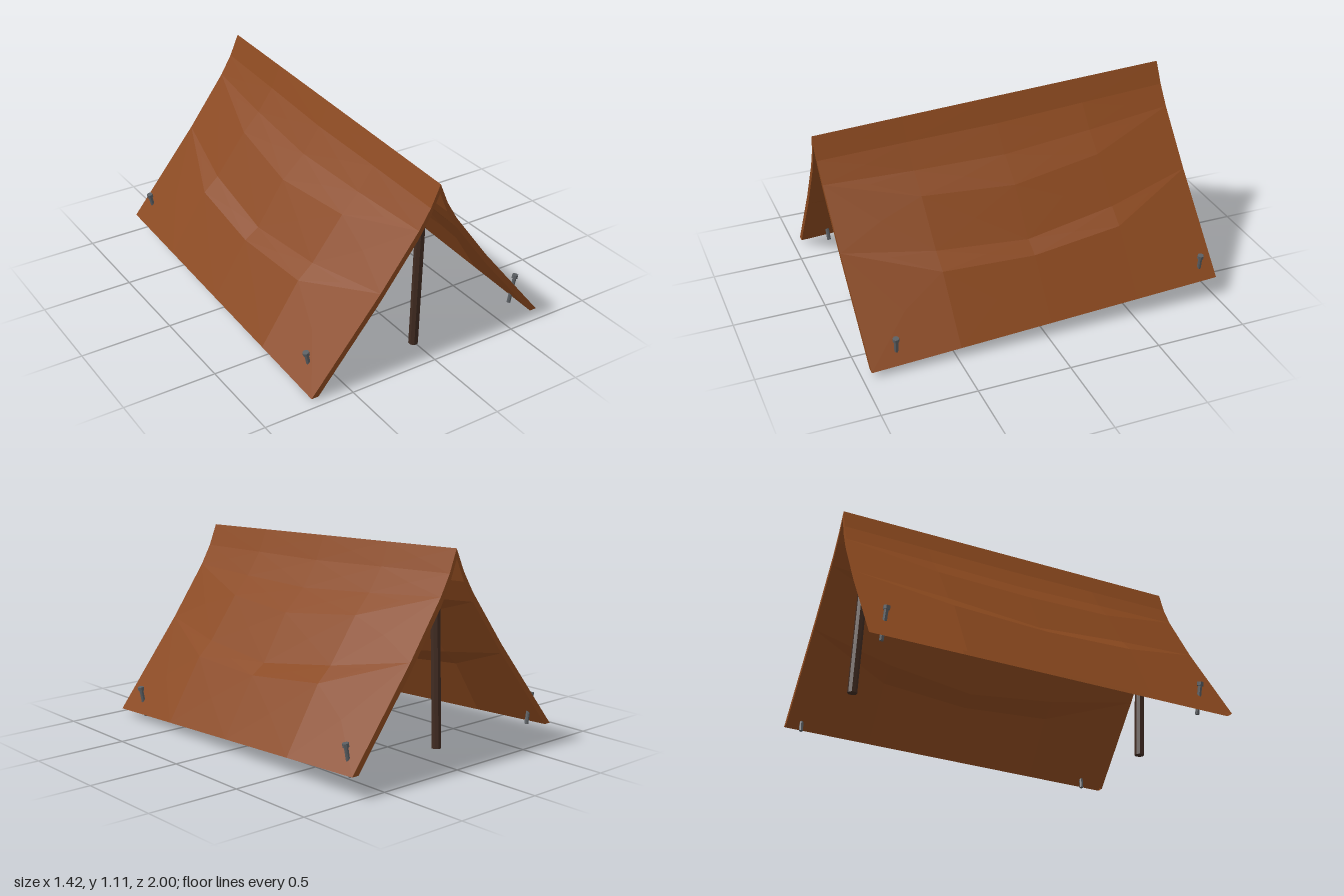
import * as THREE from 'three';

const canvas = new THREE.MeshStandardMaterial({ color: 0x8a481e, side: THREE.DoubleSide });
canvas.name = 'brown canvas';
const wood = new THREE.MeshStandardMaterial({ color: 0x402b21 });
wood.name = 'dark wood';
const iron = new THREE.MeshStandardMaterial({ color: 0x5a5e62 });
iron.name = 'grey iron';

// Half profiles of the cloth from ridge to eave: [x, y]
const END = [[0, 0.998], [0.05, 0.88], [0.113, 0.772], [0.113, 0.772], [0.323, 0.483], [0.323, 0.483], [0.709, 0]];
const HALF = [[0, 0.998], [0.053, 0.875], [0.14, 0.75], [0.236, 0.647], [0.41, 0.415], [0.495, 0.337], [0.709, 0]];
const MID = [[0, 0.998], [0.058, 0.868], [0.155, 0.73], [0.282, 0.61], [0.437, 0.362], [0.517, 0.307], [0.709, 0]];
const STATIONS = [[-0.977, END], [-0.5, HALF], [0, MID], [0.5, HALF], [0.977, END]];

// Cross-section: outer skin from +x to -x, then inner skin back again
function section([z, half]) {
  const last = half.length - 1;
  const inner = half.map(([x, y], i) => (i === last ? [x - 0.04, y] : [x, y - 0.05]));
  const span = (p) => [
    ...p.slice(1).reverse(),
    ...p.map(([x, y]) => [-x, y]),
  ];
  return [...span(half), ...span(inner).reverse()].map(([x, y]) => new THREE.Vector3(x, y, z));
}

// Loft the skins as flat panels and close both ends; the hems stay open
function clothGeometry() {
  const rings = STATIONS.map(section);
  const n = rings[0].length;
  const pos = [];
  const nor = [];

  // One evenly shaded panel, fanned from its centre
  function panel(...corners) {
    const [a, b, c, d] = corners;
    const centre = a.clone().add(b).add(c).add(d).multiplyScalar(0.25);
    const normal = c.clone().sub(a).cross(d.clone().sub(b)).normalize();
    corners.forEach((p, i) => {
      const q = corners[(i + 1) % 4];
      if (p.distanceTo(q) < 1e-6) return;
      for (const v of [p, q, centre]) {
        pos.push(v.x, v.y, v.z);
        nor.push(normal.x, normal.y, normal.z);
      }
    });
  }

  for (let i = 0; i < rings.length - 1; i++) {
    for (let j = 0; j < n - 1; j++) {
      if (j === n / 2 - 1) continue;
      panel(rings[i][j], rings[i][j + 1], rings[i + 1][j + 1], rings[i + 1][j]);
    }
  }
  const back = rings[0];
  const front = rings[rings.length - 1];
  for (let j = 0; j < n / 2 - 1; j++) {
    if (front[j].distanceTo(front[j + 1]) < 1e-6) continue;
    panel(front[j], front[j + 1], front[n - 2 - j], front[n - 1 - j]);
    panel(back[j + 1], back[j], back[n - 1 - j], back[n - 2 - j]);
  }
  const g = new THREE.BufferGeometry();
  g.setAttribute('position', new THREE.Float32BufferAttribute(pos, 3));
  g.setAttribute('normal', new THREE.Float32BufferAttribute(nor, 3));
  return g;
}

// Faceted upright rod with its base at y, one facet facing front
function rod(name, material, radius, height, y, sides) {
  const g = new THREE.CylinderGeometry(radius, radius, height, sides).toNonIndexed();
  g.computeVertexNormals();
  const mesh = new THREE.Mesh(g, material);
  mesh.name = name;
  mesh.position.y = y + height / 2;
  mesh.rotation.y = Math.PI / sides;
  return mesh;
}

export function createModel() {
  const model = new THREE.Group();
  model.name = 'tent';

  // Everything leans slightly, as if pitched on uneven ground
  const pitched = new THREE.Group();
  pitched.name = 'pitchedTent';
  pitched.position.set(-0.002, 0.0675, -0.023);
  pitched.rotation.set(0.046, 0, 0.0106);
  model.add(pitched);

  const cloth = new THREE.Mesh(clothGeometry(), canvas);
  cloth.name = 'cloth';
  pitched.add(cloth);

  // Ridge poles
  for (const [name, z] of [['frontPole', 0.843], ['backPole', -0.827]]) {
    const pole = rod(name, wood, 0.026, 0.95, -0.0275, 8);
    pole.position.x = -0.003;
    pole.position.z = z;
    pitched.add(pole);
  }

  // Pegs leaning outward through the corners of the cloth
  for (const [end, z] of [['front', 0.828], ['back', -0.897]]) {
    for (const [side, x, y, lean] of [['Left', 0.646, -0.0265, -0.17], ['Right', -0.614, -0.003, 0.22]]) {
      const peg = new THREE.Group();
      peg.name = `${end}${side}Peg`;
      peg.add(rod('pegShaft', iron, 0.011, 0.155, 0, 8));
      peg.add(rod('pegHead', iron, 0.017, 0.02, 0.152, 8));
      peg.position.set(x, y, z);
      peg.rotation.z = lean;
      pitched.add(peg);
    }
  }
  return model;
}
